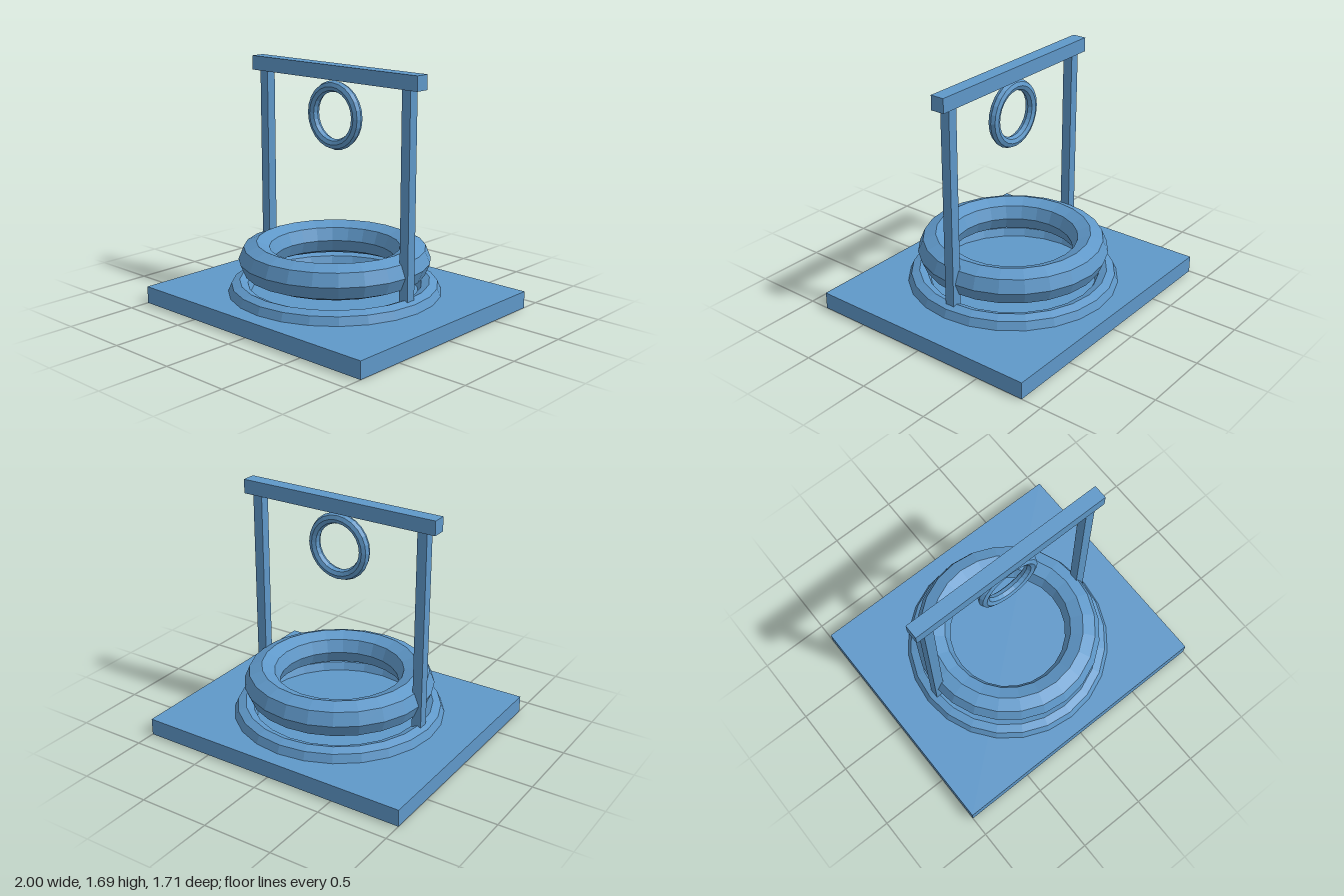
import * as THREE from 'three';

export function createModel() {
  const model = new THREE.Group();
  model.name = 'ringShrine';

  const blue = new THREE.MeshStandardMaterial({ color: 0x5f98c9 });
  blue.name = 'steel blue';
  blue.flatShading = true;

  const add = (name, geometry, x, y, z) => {
    const mesh = new THREE.Mesh(geometry, blue);
    mesh.name = name;
    mesh.position.set(x, y, z);
    model.add(mesh);
    return mesh;
  };
  const box = (name, w, h, d, x, bottom) =>
    add(name, new THREE.BoxGeometry(w, h, d), x, bottom + h / 2, 0);
  // Low-poly ring: octagonal section, 24 segments around
  const ring = (radius, tube) => new THREE.TorusGeometry(radius, tube, 8, 24);

  // Square plinth
  box('base', 2, 0.12, 1.71, 0, 0);

  // Lower ring half sunk in the base, and the thicker ring floating above it
  add('lowerRing', ring(0.66, 0.08).rotateX(Math.PI / 2), 0, 0.12, 0);
  add('upperRing', ring(0.54, 0.125).rotateX(Math.PI / 2), 0, 0.35, 0);

  // Gate frame: two posts and a crossbeam
  for (const [name, side] of [['leftPost', 1], ['rightPost', -1]]) {
    box(name, 0.07, 1.48, 0.07, side * 0.645, 0.12);
  }
  box('crossbeam', 1.49, 0.1, 0.1, 0, 1.592);

  // Upright ring below the beam
  add('hangingRing', ring(0.198, 0.038), 0, 1.347, 0);

  return model;
}
